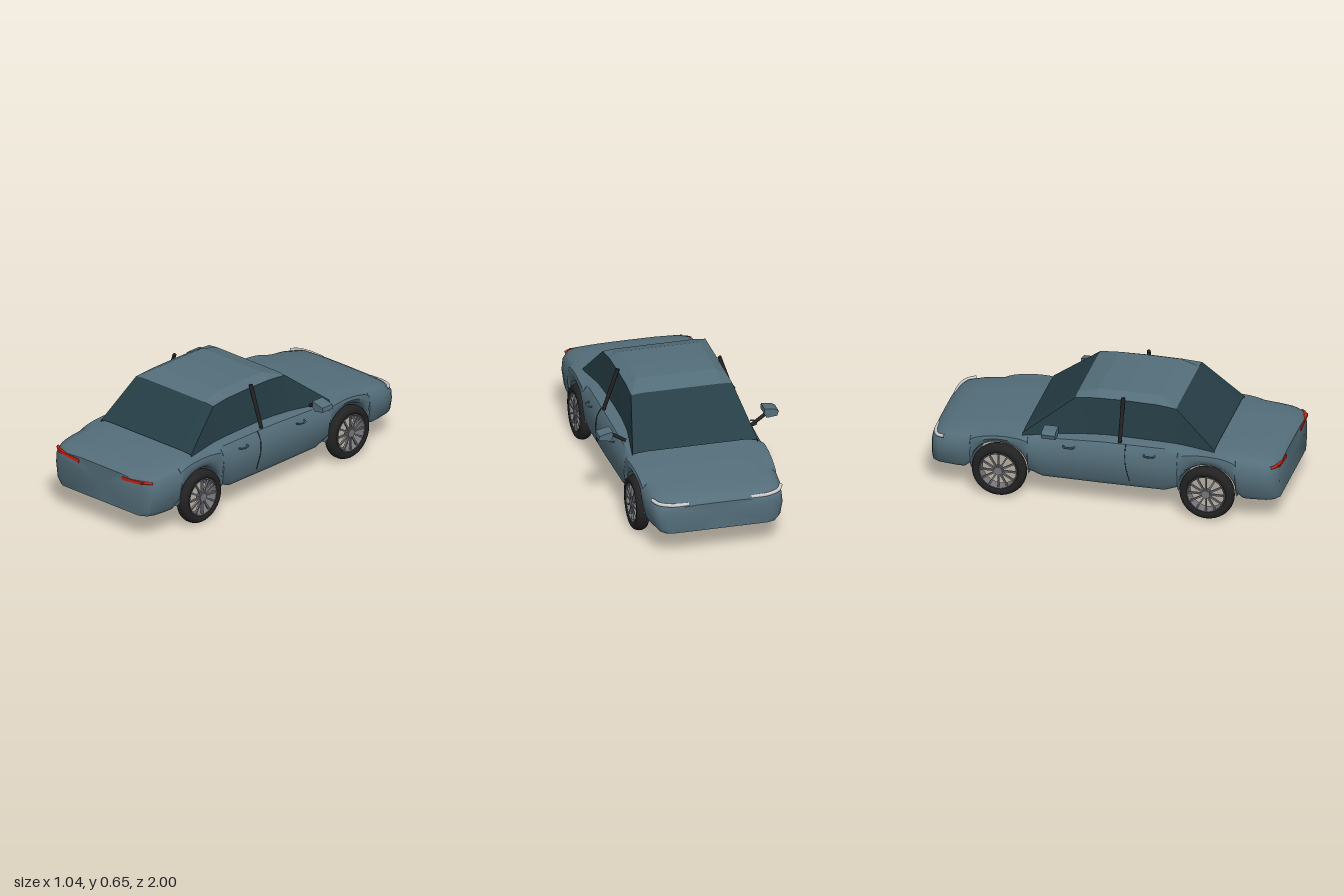
import * as THREE from 'three';
import { mergeGeometries, toCreasedNormals } from 'three/addons/utils/BufferGeometryUtils.js';

const mat = (color, extra = {}) => new THREE.MeshStandardMaterial({ color, ...extra });
const paint = mat(0x546e7a, { side: THREE.DoubleSide });
const paintFlat = mat(0x546e7a, { side: THREE.DoubleSide, flatShading: true });
const glass = mat(0x263e46, { side: THREE.DoubleSide, flatShading: true });
const black = mat(0x222222);
const steel = mat(0x77777c);
const red = mat(0xd42010);
const white = mat(0xf0f0f0);

const V = (x, y, z) => new THREE.Vector3(x, y, z);
const WHEEL_Z = 0.595, WHEEL_Y = 0.157, ARCH_R = 0.166, FLOOR = 0.14;

function add(parent, name, geometry, material) {
  const mesh = new THREE.Mesh(geometry, material);
  mesh.name = name;
  parent.add(mesh);
  return mesh;
}

function fromTriangles(points) {
  const g = new THREE.BufferGeometry().setFromPoints(points);
  g.computeVertexNormals();
  return g;
}

// Piecewise linear lookup in [[z, value], ...]
function lookup(table, z) {
  for (let i = 1; i < table.length; i++) {
    const [z0, a] = table[i - 1], [z1, b] = table[i];
    if (z <= z1) return a + (b - a) * Math.max(0, (z - z0) / (z1 - z0));
  }
  return table[table.length - 1][1];
}

const widths = [[-1, 0.3], [-0.985, 0.345], [-0.95, 0.37], [-0.85, 0.388], [-0.5, 0.4], [0, 0.408],
  [0.5, 0.407], [0.85, 0.398], [0.93, 0.388], [0.97, 0.367], [0.995, 0.32]];
const tops = [[-1, 0.3], [-0.985, 0.314], [-0.95, 0.332], [-0.85, 0.352], [-0.65, 0.375], [-0.45, 0.392],
  [0, 0.415], [0.4, 0.415], [0.7, 0.403], [0.9, 0.388], [0.97, 0.374], [0.995, 0.355]];

// Lower body: lofted sections whose floor rises into the wheel arches
function bodyGeometry() {
  const stations = [];
  const plain = [-1, -0.985, -0.95, -0.9, -0.85, -0.8, -0.35, -0.2, 0, 0.2, 0.35, 0.8, 0.85, 0.9, 0.93, 0.97, 0.995];
  plain.forEach(z => stations.push([z, FLOOR]));
  for (const c of [-WHEEL_Z, WHEEL_Z]) {
    for (let i = 0; i <= 20; i++) {
      const a = Math.PI * (1.03 - 1.06 * i / 20);
      stations.push([c + ARCH_R * Math.cos(a) + (i - 10) * 1e-4, Math.max(FLOOR, WHEEL_Y + ARCH_R * Math.sin(a))]);
    }
  }
  stations.sort((a, b) => a[0] - b[0]);
  const rings = stations.map(([z, yb]) => {
    const w = lookup(widths, z), yt = lookup(tops, z), h = yt - yb;
    const half = [[0, yb], [w * 0.91, yb], [w * 0.965, yb + h * 0.12], [w, yb + h * 0.5],
      [w * 0.985, yb + h * 0.78], [w * 0.92, yt - 0.018], [w * 0.8, yt - 0.007], [w * 0.45, yt - 0.001], [0, yt]];
    const other = half.slice(1, -1).reverse().map(([x, y]) => [-x, y]);
    return [...half, ...other].map(([x, y]) => V(x, y, z));
  });
  const tri = [], n = rings[0].length;
  for (let i = 0; i < rings.length - 1; i++) {
    for (let j = 0; j < n; j++) {
      const k = (j + 1) % n;
      const a = rings[i][j], b = rings[i][k], c = rings[i + 1][k], d = rings[i + 1][j];
      tri.push(a, b, c, a, c, d);
    }
  }
  const first = rings[0], last = rings[rings.length - 1];
  for (let j = 0; j < n; j++) {
    const k = (j + 1) % n;
    tri.push(V(0, 0.23, first[0].z), first[k], first[j], V(0, 0.25, last[0].z), last[j], last[k]);
  }
  return toCreasedNormals(fromTriangles(tri), 0.75);
}

// Cabin: each row is z, base half width, edge half width and height, crown half width and height
function addCabin(car) {
  const rows = [
    [-0.465, 0.362, 0.36, 0.39, 0.28, 0.397], [-0.18, 0.318, 0.292, 0.612, 0.23, 0.618],
    [-0.06, 0.312, 0.288, 0.622, 0.23, 0.652], [0.1, 0.31, 0.288, 0.625, 0.23, 0.654],
    [0.29, 0.315, 0.29, 0.622, 0.23, 0.652], [0.4, 0.32, 0.296, 0.612, 0.23, 0.618],
    [0.63, 0.347, 0.345, 0.405, 0.28, 0.411]];
  const sections = rows.map(([z, wb, we, ye, wc, yc]) => {
    const p = [[wb, 0.37], [we, ye], [wc, yc]];
    return [...p, ...p.slice().reverse().map(([x, y]) => [-x, y])].map(([x, y]) => V(x, y, z));
  });
  const parts = { sideWindows: [], windshield: [], roof: [], rearWindow: [] };
  for (let i = 0; i < sections.length - 1; i++) {
    for (let j = 0; j < 5; j++) {
      const end = i === 0 ? 'windshield' : i === sections.length - 2 ? 'rearWindow' : 'roof';
      const a = sections[i][j], b = sections[i][j + 1], c = sections[i + 1][j + 1], d = sections[i + 1][j];
      parts[j === 0 || j === 4 ? 'sideWindows' : end].push(a, b, c, a, c, d);
    }
  }
  for (const name in parts) add(car, name, fromTriangles(parts[name]), name === 'roof' ? paintFlat : glass);
}

function tube(points, radius, segments = 16) {
  return new THREE.TubeGeometry(new THREE.CatmullRomCurve3(points), segments, radius, 8);
}

function bar(from, to, radius) {
  const d = to.clone().sub(from);
  const g = new THREE.CylinderGeometry(radius, radius, d.length(), 10);
  g.applyQuaternion(new THREE.Quaternion().setFromUnitVectors(V(0, 1, 0), d.normalize()));
  const m = from.clone().add(to).multiplyScalar(0.5);
  return g.translate(m.x, m.y, m.z);
}

function extrude(points, depth, z) {
  const shape = new THREE.Shape(points.map(([x, y]) => new THREE.Vector2(x, y)));
  return new THREE.ExtrudeGeometry(shape, { depth, bevelEnabled: false }).translate(0, 0, z);
}

// Wheel, axle along x: rounded tyre, thin rim, hub and spokes
function makeWheel() {
  const wheel = new THREE.Group();
  wheel.name = 'wheel';
  const lathe = pts => new THREE.LatheGeometry(pts.map(([r, y]) => new THREE.Vector2(r, y)), 40).rotateZ(-Math.PI / 2);
  add(wheel, 'tyre', lathe([[0.108, -0.03], [0.125, -0.037], [0.142, -0.035], [0.152, -0.024], [0.157, -0.008],
    [0.157, 0.008], [0.152, 0.024], [0.142, 0.035], [0.125, 0.037], [0.108, 0.03], [0.108, -0.03]]), black);
  add(wheel, 'rim', lathe([[0.102, -0.03], [0.11, -0.033], [0.11, 0.033], [0.102, 0.03], [0.102, -0.03]]), steel);
  add(wheel, 'hub', new THREE.CylinderGeometry(0.024, 0.028, 0.03, 20).rotateZ(-Math.PI / 2).translate(0.02, 0, 0), steel);
  const spokes = [];
  for (let i = 0; i < 12; i++) {
    spokes.push(new THREE.BoxGeometry(0.012, 0.09, 0.009).translate(0.024, 0.062, 0).rotateX(i * Math.PI / 6));
  }
  add(wheel, 'spokes', mergeGeometries(spokes), steel);
  return wheel;
}

export function createModel() {
  const car = new THREE.Group();
  car.name = 'car';
  add(car, 'body', bodyGeometry(), paint);
  addCabin(car);

  for (const s of [-1, 1]) {
    for (const z of [-WHEEL_Z, WHEEL_Z]) {
      const wheel = makeWheel();
      wheel.position.set(s * 0.373, WHEEL_Y, z);
      if (s < 0) wheel.rotation.y = Math.PI;
      car.add(wheel);
    }

    // Leaning door pillar and door seam
    add(car, 'doorPillar', bar(V(s * 0.375, 0.405, 0.095), V(s * 0.293, 0.645, 0.095), 0.011), black);
    add(car, 'doorSeam', tube([V(s * 0.378, 0.4, 0.13), V(s * 0.403, 0.35, 0.13), V(s * 0.408, 0.28, 0.135),
      V(s * 0.395, 0.18, 0.155)], 0.002), black);

    // Handles stand just off the doors
    for (const z of [-0.19, 0.27]) {
      add(car, 'doorHandle', tube([V(s * 0.4, 0.357, z - 0.032), V(s * 0.421, 0.358, z - 0.022),
        V(s * 0.421, 0.358, z + 0.022), V(s * 0.4, 0.357, z + 0.032)], 0.005), paint);
    }

    // Headlight strip wraps the nose corner
    add(car, 'headlight', tube([V(s * 0.18, 0.302, -0.986), V(s * 0.28, 0.306, -0.982), V(s * 0.345, 0.312, -0.955),
      V(s * 0.37, 0.318, -0.91)], 0.011, 24), white);

    // Tail light blade with a small wrapped tip
    add(car, 'tailLight', extrude([[0.165, 0.32], [0.32, 0.337], [0.325, 0.352], [0.165, 0.34]]
      .map(([x, y]) => [s * x, y]), 0.025, 0.975), red);
    add(car, 'tailLightTip', tube([V(s * 0.31, 0.345, 0.986), V(s * 0.34, 0.346, 0.978), V(s * 0.366, 0.345, 0.955)], 0.008), red);
  }

  // Side mirrors sit at slightly different heights
  const heads = [
    [[-0.522, 0.475], [-0.5, 0.49], [-0.44, 0.498], [-0.437, 0.468], [-0.452, 0.442], [-0.512, 0.448]],
    [[0.437, 0.475], [0.515, 0.456], [0.518, 0.43], [0.452, 0.418], [0.437, 0.44]]];
  heads.forEach((outline, i) => {
    const s = i ? 1 : -1;
    add(car, 'mirrorHead', extrude(outline, 0.08, i ? -0.33 : -0.32), paintFlat);
    add(car, 'mirrorArm', bar(V(s * 0.36, 0.405, -0.315), V(s * 0.448, 0.453, -0.295), 0.01), black);
  });
  return car;
}
